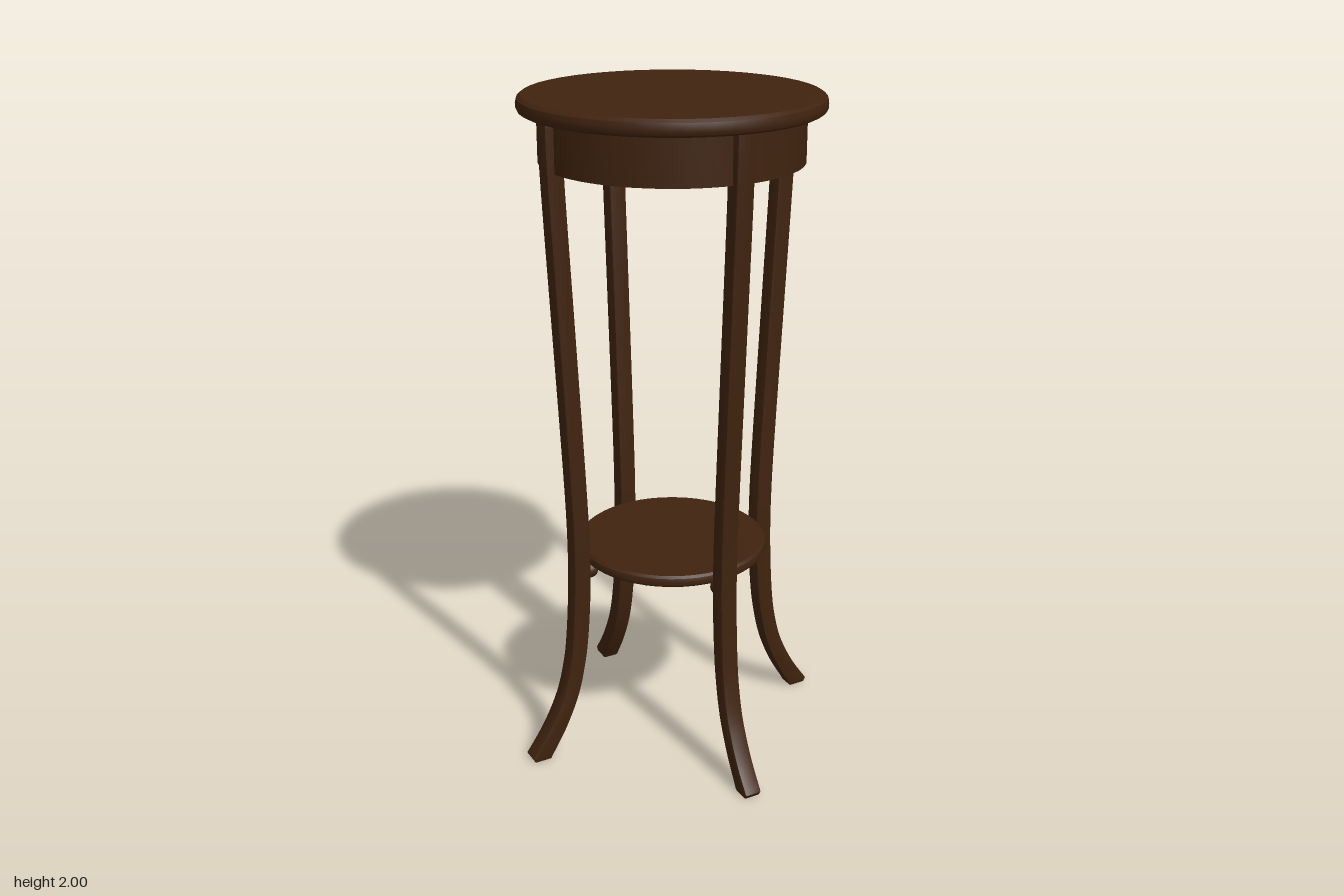
import * as THREE from 'three';
import { toCreasedNormals } from 'three/addons/utils/BufferGeometryUtils.js';

const v2 = (p) => new THREE.Vector2(p[0], p[1]);

export function createModel() {
  const model = new THREE.Group();
  model.name = 'pedestalTable';
  const darkWood = new THREE.MeshStandardMaterial({ color: 0x40230f });
  darkWood.name = 'darkWood';

  const add = (name, geometry, parent = model) => {
    const mesh = new THREE.Mesh(geometry, darkWood);
    mesh.name = name;
    parent.add(mesh);
    return mesh;
  };
  // Round part from a profile running bottom to top
  const turned = (points, segments = 48) =>
    toCreasedNormals(new THREE.LatheGeometry(points.map(v2), segments), 0.5);

  // Table top with a softened rim
  add('tableTop', turned([
    [0, 1.953], [0.415, 1.953], [0.426, 1.959], [0.43, 1.968],
    [0.43, 1.98], [0.427, 1.992], [0.416, 2], [0, 2],
  ]));

  // Apron below the top
  add('apron', turned([[0, 1.815], [0.365, 1.815], [0.374, 1.815], [0.374, 1.955], [0, 1.955]]));

  // Lower shelf
  add('shelf', turned([
    [0, 0.62], [0.278, 0.62], [0.286, 0.627], [0.288, 0.638], [0.285, 0.649], [0.277, 0.655], [0, 0.655],
  ]));

  // Sabre leg: outer and inner curves joined into one outline
  const outer = new THREE.SplineCurve([
    [0.5, 0.014], [0.442, 0.1], [0.394, 0.2], [0.368, 0.3], [0.355, 0.4],
    [0.346, 0.55], [0.344, 0.7], [0.35, 0.9], [0.372, 1.35], [0.394, 1.8], [0.397, 1.955],
  ].map(v2)).getPoints(44);
  const inner = new THREE.SplineCurve([
    [0.344, 1.955], [0.342, 1.8], [0.32, 1.35], [0.298, 0.9], [0.291, 0.7],
    [0.292, 0.55], [0.302, 0.4], [0.316, 0.3], [0.34, 0.2], [0.382, 0.1], [0.432, 0.014],
  ].map(v2)).getPoints(44);
  const outline = new THREE.Shape([...outer, ...inner, v2([0.44, 0]), v2([0.492, 0])]);
  const bevel = 0.006;
  const width = 0.054;
  const legGeometry = toCreasedNormals(new THREE.ExtrudeGeometry(outline, {
    depth: width - 2 * bevel, bevelThickness: bevel, bevelSize: bevel,
    bevelOffset: -bevel, bevelSegments: 2,
  }).translate(0, 0, bevel - width / 2), 0.6);
  const knobGeometry = new THREE.SphereGeometry(0.025, 16, 12);

  // Four legs, each with a knob carrying the shelf
  for (let i = 0; i < 4; i++) {
    const assembly = new THREE.Group();
    assembly.name = 'legAssembly' + (i + 1);
    assembly.rotation.y = i * Math.PI / 2;
    add('leg', legGeometry, assembly);
    add('shelfKnob', knobGeometry, assembly).position.set(0.282, 0.606, 0);
    model.add(assembly);
  }
  return model;
}
